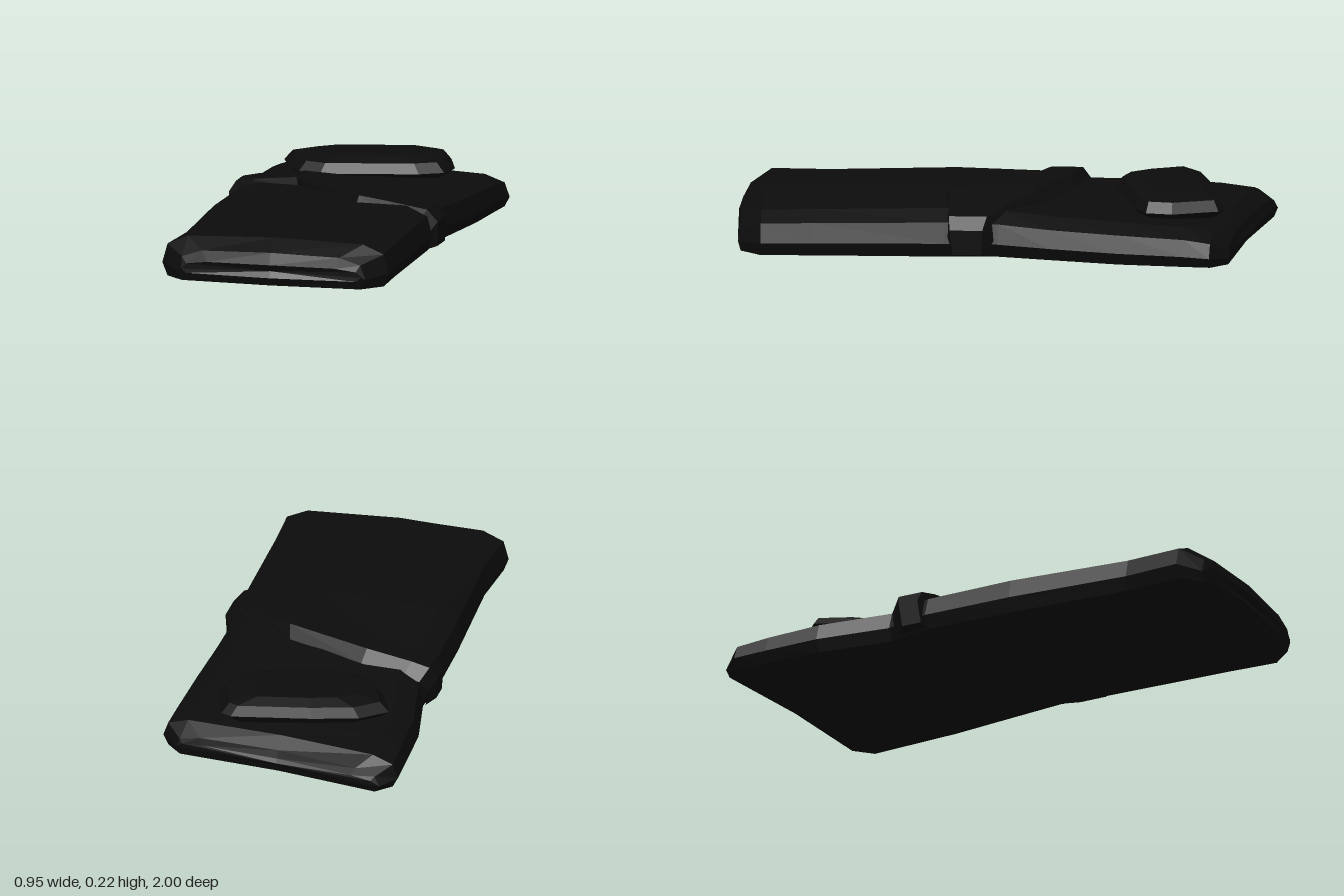
import * as THREE from 'three';

// Joins a list of equal-length closed rings and caps both ends.
function loft(rings) {
  const n = rings[0].length, pos = [];
  const tri = (...p) => p.forEach(v => pos.push(...v));
  const centre = r => [0, 1, 2].map(k => r.reduce((s, p) => s + p[k], 0) / n);
  const first = rings[0], last = rings[rings.length - 1];
  const c0 = centre(first), c1 = centre(last);
  for (let i = 0; i < n; i++) {
    const j = (i + 1) % n;
    for (let s = 0; s < rings.length - 1; s++) {
      const a = rings[s], b = rings[s + 1];
      tri(a[i], b[i], a[j]);
      tri(a[j], b[i], b[j]);
    }
    tri(c0, first[i], first[j]);
    tri(c1, last[j], last[i]);
  }
  const g = new THREE.BufferGeometry();
  g.setAttribute('position', new THREE.Float32BufferAttribute(pos, 3));
  g.computeVertexNormals();
  return g;
}

export function createModel() {
  const group = new THREE.Group();
  const fabric = new THREE.MeshStandardMaterial({ color: 0x0c0c0c });
  fabric.name = 'black fabric';
  fabric.flatShading = true;
  const add = (name, rings) => {
    const mesh = new THREE.Mesh(loft(rings), fabric);
    mesh.name = name;
    group.add(mesh);
  };

  // Padded body: zLeft, zMiddle, zRight, xLeft, xRight, yBottom, yTop
  const sections = [
    [0.98, 1.0, 0.98, -0.32, 0.38, 0.05, 0.10],
    [0.97, 0.985, 0.97, -0.34, 0.395, 0.02, 0.145],
    [0.9, 0.9, 0.89, -0.415, 0.465, 0.02, 0.187],
    [0.68, 0.68, 0.7, -0.40, 0.455, 0.02, 0.19],
    [0.2, 0.2, 0.2, -0.425, 0.442, 0.02, 0.2],
    [-0.15, -0.05, 0.0, -0.432, 0.43, 0.02, 0.19],
    [-0.31, -0.27, -0.2, -0.41, 0.44, 0.012, 0.17],
    [-0.59, -0.54, -0.45, -0.465, 0.455, 0.003, 0.156],
    [-0.8, -0.77, -0.7, -0.472, 0.465, 0, 0.142],
    [-0.93, -0.86, -0.8, -0.475, 0.472, 0, 0.125],
    [-0.99, -0.91, -0.865, -0.42, 0.41, 0, 0.085],
    [-1.0, -0.92, -0.872, -0.405, 0.40, 0.025, 0.055],
  ];
  // Right half of the cross-section: inset from the edge, height fraction
  const half = [[0.02, 0], [0, 0.3], [0.02, 0.73], [0.1, 0.94]];
  add('paddedBody', sections.map(([zl, zm, zr, xl, xr, y0, y1]) => {
    const mid = (xl + xr) / 2;
    const point = (x, v) => {
      const t = (x - mid) / (xr - mid);
      return [x, y0 + (y1 - y0) * v, zm + ((t < 0 ? zl : zr) - zm) * Math.abs(t)];
    };
    return [
      ...half.map(([d, v]) => point(xr - d, v)),
      point(mid, 1),
      ...half.slice().reverse().map(([d, v]) => point(xl + d, v)),
      point(mid, 0),
    ];
  }));

  // Diagonal turned-down fold: x, y, back z, front z
  const fold = [
    [-0.44, 0.04, -0.28, -0.15],
    [-0.45, 0.13, -0.29, -0.16],
    [-0.42, 0.175, -0.305, -0.155],
    [-0.35, 0.19, -0.3, -0.135],
    [-0.17, 0.212, -0.28, -0.1],
    [0.16, 0.221, -0.17, 0.215],
    [0.28, 0.202, -0.09, 0.207],
    [0.42, 0.176, 0.0, 0.195],
    [0.46, 0.13, 0.015, 0.19],
    [0.455, 0.035, 0.02, 0.18],
  ];
  add('turnedDownFold', fold.map(([x, y, zb, zf]) => {
    const low = Math.max(y - 0.045, 0.025);
    return [
      [x * 0.93, low, zf], [x, y, zf - 0.012],
      [x, y, zb + 0.04], [x * 0.93, low, zb],
    ];
  }));

  // Soft pillow, stacked from bottom to top
  const outline = [
    [-0.365, -0.65], [-0.27, -0.73], [-0.1, -0.78], [0.2, -0.84], [0.24, -0.82], [0.3, -0.65],
    [0.285, -0.55], [0.2, -0.5], [-0.16, -0.41], [-0.25, -0.44], [-0.31, -0.52],
  ];
  const layers = [[0.86, 0.135], [1, 0.167], [0.9, 0.205], [0.62, 0.224]];
  add('pillow', layers.map(([s, y]) =>
    outline.map(([x, z]) => [-0.02 + (x + 0.02) * s, y, -0.63 + (z + 0.63) * s])));

  return group;
}
